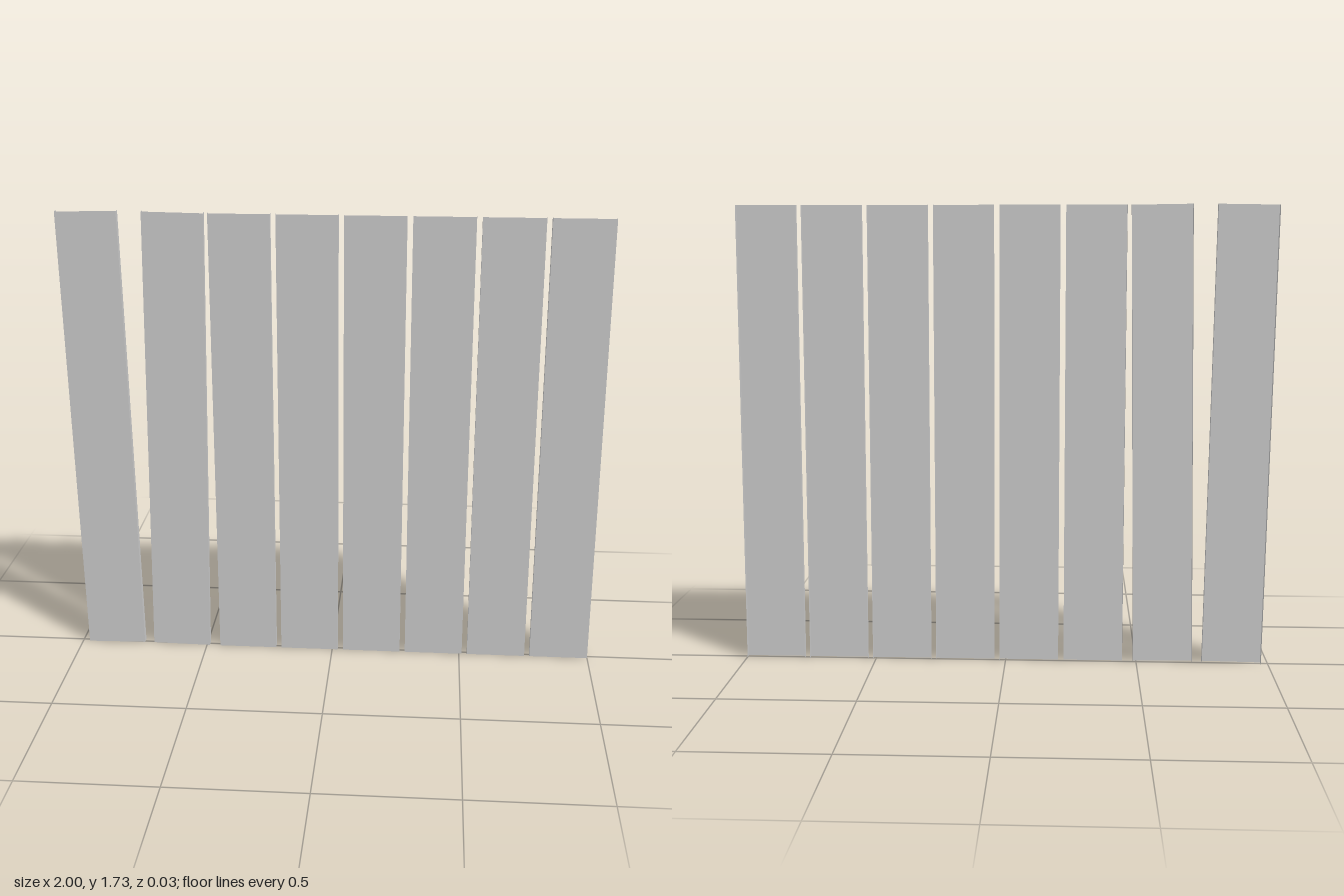
import * as THREE from 'three';

const WIDTH = 0.224, HEIGHT = 1.728, DEPTH = 0.026, PITCH = 0.2445;

const material = new THREE.MeshStandardMaterial({
  color: 0xcccccc, flatShading: true, side: THREE.DoubleSide,
});

// One sheet panel: a front skin with a flange folded back along each long edge
function createPanel(name, x, tilt = 0) {
  const panel = new THREE.Group();
  panel.name = name;

  const skin = new THREE.Mesh(new THREE.PlaneGeometry(WIDTH, HEIGHT), material);
  skin.name = 'frontSkin';
  skin.position.z = DEPTH / 2;
  panel.add(skin);

  for (const side of [-1, 1]) {
    const flange = new THREE.Mesh(new THREE.PlaneGeometry(DEPTH, HEIGHT), material);
    flange.name = side > 0 ? 'leftFlange' : 'rightFlange';
    flange.position.x = side * WIDTH / 2;
    flange.rotation.y = side * Math.PI / 2;
    panel.add(flange);
  }

  // Lift a leaning panel so its lowest corner rests on the ground
  const halfHeight = (HEIGHT * Math.cos(tilt) + WIDTH * Math.abs(Math.sin(tilt))) / 2;
  panel.position.set(x, halfHeight, 0);
  panel.rotation.z = tilt;
  return panel;
}

export function createModel() {
  const model = new THREE.Group();
  model.name = 'panelWall';

  // Six upright panels
  for (let i = 0; i < 6; i++) {
    model.add(createPanel('uprightPanel' + (i + 1), 1 - WIDTH / 2 - i * PITCH));
  }

  // Two loose panels leaning away from each other
  model.add(createPanel('innerLeaningPanel', -0.587, -0.0155));
  model.add(createPanel('outerLeaningPanel', -0.875, 0.0155));
  return model;
}
